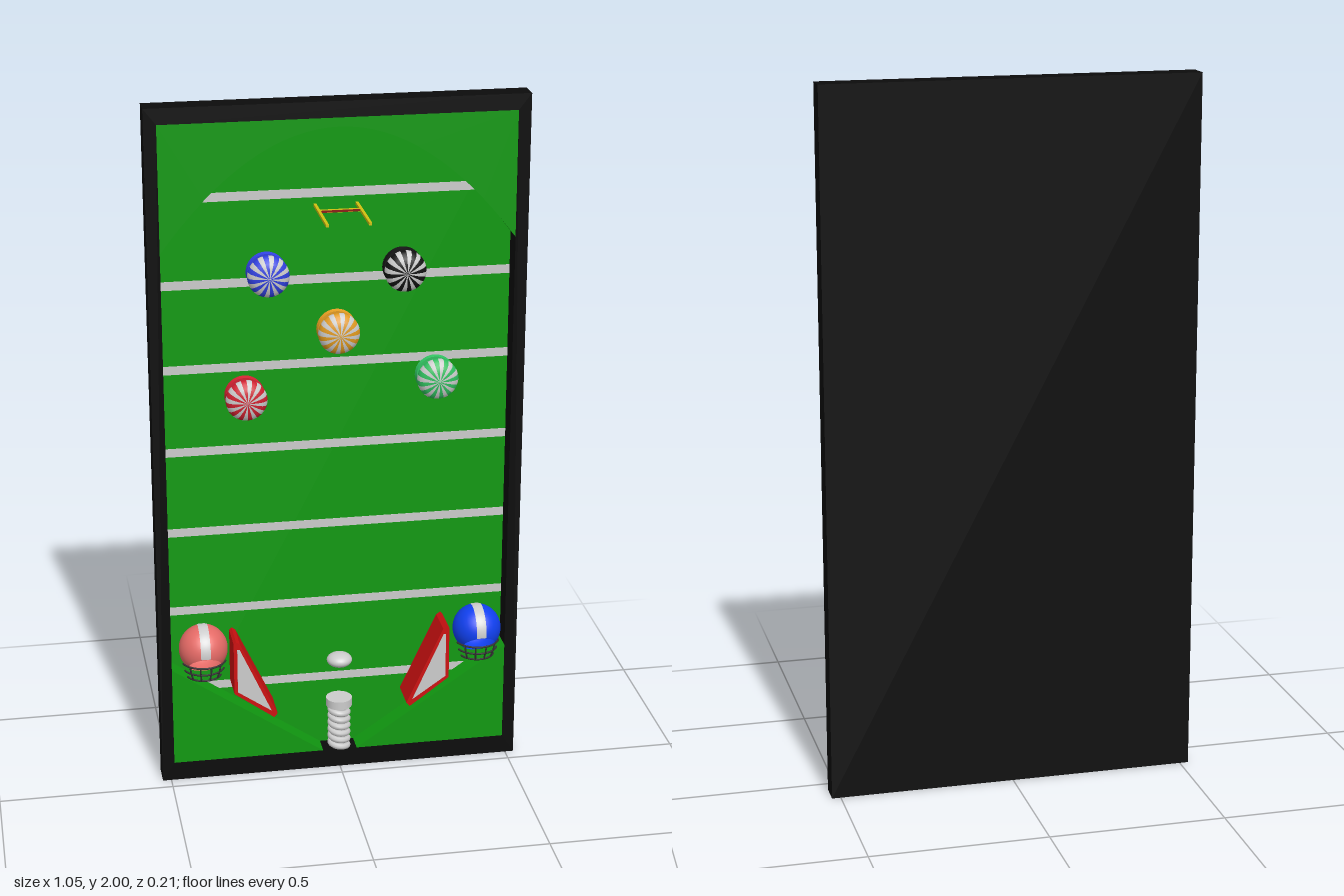
import * as THREE from 'three';

const BACK = -0.105, FIELD = -0.1, FRONT = -0.04;
const mat = (color, extra = {}) => new THREE.MeshStandardMaterial({ color, ...extra });
const green = mat(0x119911), black = mat(0x0b0b0b), white = mat(0xcccccc), red = mat(0xcc1111);
const yellow = mat(0xd0c010), dark = mat(0x333333);

function add(parent, name, geometry, material, x = 0, y = 0, z = 0) {
  const mesh = new THREE.Mesh(geometry, material);
  mesh.name = name;
  mesh.position.set(x, y, z);
  parent.add(mesh);
  return mesh;
}

const polygon = pts => new THREE.Shape(pts.map(p => new THREE.Vector2(...p)));

// Extrudes a front outline between two z positions
function slab(shape, z0, z1) {
  const g = new THREE.ExtrudeGeometry(shape, { depth: z1 - z0, bevelEnabled: false, curveSegments: 32 });
  return g.translate(0, 0, z0);
}

const rect = (x0, y0, x1, y1) => polygon([[x0, y0], [x1, y0], [x1, y1], [x0, y1]]);

// Round bumper: skirt, stem and a rounded cap made of alternating coloured wedges
function bumper(name, color, x, y) {
  const g = new THREE.Group();
  g.name = name;
  g.position.set(x, y, FIELD);
  g.rotation.x = Math.PI / 2;
  const tint = mat(color, { side: THREE.DoubleSide });
  const pale = mat(0xcccccc, { side: THREE.DoubleSide });
  const cap = [[0.04, 0.03], [0.053, 0.034], [0.058, 0.044], [0.058, 0.054], [0.053, 0.066],
    [0.042, 0.074], [0.025, 0.079], [0, 0.081]].map(p => new THREE.Vector2(...p));
  const n = 24, step = Math.PI * 2 / n;
  for (let i = 0; i < n; i++)
    add(g, 'capWedge', new THREE.LatheGeometry(cap, 2, i * step, step), i % 2 ? pale : tint);
  add(g, 'stem', new THREE.CylinderGeometry(0.042, 0.042, 0.034, 32), pale, 0, 0.017, 0);
  add(g, 'skirt', new THREE.CylinderGeometry(0.052, 0.056, 0.01, 32), tint, 0, 0.005, 0);
  return g;
}

// Helmet: shell open towards the lower front, centre stripe and face guard
function helmet(name, color, x) {
  const g = new THREE.Group();
  g.name = name;
  g.position.set(x, 0.43, -0.02);
  const shell = new THREE.SphereGeometry(0.07, 32, 24, 0, Math.PI * 2, 0, Math.PI - 0.72);
  add(g, 'shell', shell.rotateX(-Math.PI / 4), mat(color, { side: THREE.DoubleSide }));
  const stripe = new THREE.SphereGeometry(0.0708, 32, 6, 1.52, 2.6, Math.PI / 2 - 0.2, 0.4);
  add(g, 'stripe', stripe.rotateZ(Math.PI / 2), mat(0xcccccc, { side: THREE.DoubleSide }));
  const guard = new THREE.Group();
  guard.name = 'faceGuard';
  g.add(guard);
  for (const [r, y] of [[0.064, -0.035], [0.059, -0.058], [0.05, -0.08]]) {
    const bar = new THREE.TorusGeometry(r, 0.0028, 6, 24, Math.PI * 0.8);
    add(guard, 'bar', bar.rotateZ(Math.PI * 0.1).rotateX(Math.PI / 2), dark, 0, y, 0);
  }
  for (const a of [-0.75, -0.25, 0.25, 0.75]) {
    const at = (r, y) => new THREE.Vector3(r * Math.sin(a), y, r * Math.cos(a));
    const path = new THREE.CatmullRomCurve3([at(0.064, -0.035), at(0.059, -0.058), at(0.05, -0.08)]);
    add(guard, 'upright', new THREE.TubeGeometry(path, 8, 0.0025, 6), dark);
  }
  return g;
}

export function createModel() {
  const model = new THREE.Group();
  model.name = 'pinballTable';

  // Cabinet: back panel, rim and playfield
  add(model, 'backPanel', new THREE.BoxGeometry(1.05, 2, 0.003), black, 0, 1, BACK + 0.0015);
  const rim = rect(-0.525, 0, 0.525, 2);
  rim.holes.push(rect(-0.49, 0.055, 0.49, 1.955));
  add(model, 'rim', slab(rim, BACK + 0.003, FRONT), black);
  add(model, 'playfield', slab(rect(-0.49, 0.055, 0.49, 1.955), BACK + 0.003, FIELD), green);

  // Yard lines
  for (let i = 0; i < 7; i++)
    add(model, 'yardLine', new THREE.BoxGeometry(0.98, 0.025, 0.001), white, 0, 0.27 + i * 0.2442, FIELD + 0.0005);

  // Arched top guide
  const arch = new THREE.Shape();
  arch.moveTo(-0.49, 1.6);
  arch.quadraticCurveTo(0, 2.26, 0.49, 1.6);
  arch.lineTo(0.49, 1.955);
  arch.lineTo(-0.49, 1.955);
  add(model, 'archGuide', slab(arch, FIELD, FRONT - 0.001), green);

  for (const s of [-1, 1]) {
    const flip = pts => polygon(pts.map(([x, y]) => [s * x, y]));
    // Sloping lower guides
    add(model, 'lowerGuide', slab(flip([[0.49, 0.055], [0.49, 0.355], [0.05, 0.055]]), FIELD, FRONT - 0.001), green);
    // Flippers with a pale inset face
    add(model, 'flipper', slab(flip([[0.315, 0.285], [0.315, 0.443], [0.308, 0.45], [0.297, 0.442],
      [0.19, 0.212], [0.2, 0.2]]), FIELD, 0), red);
    add(model, 'flipperFace', slab(flip([[0.305, 0.29], [0.305, 0.425], [0.298, 0.425], [0.207, 0.222]]), -0.002, 0.001), white);
    // Goal uprights
    add(model, 'goalPost', new THREE.BoxGeometry(0.008, 0.008, 0.205), yellow, s * 0.058, 1.7, 0.0025);
  }
  add(model, 'goalCrossbar', new THREE.BoxGeometry(0.124, 0.008, 0.008), yellow, 0, 1.7, -0.036);
  add(model, 'goalCrossbarFace', new THREE.BoxGeometry(0.124, 0.006, 0.001), mat(0x8a1a10), 0, 1.7, -0.0315);

  // Bumpers
  model.add(
    bumper('blueBumper', 0x3040e0, -0.195, 1.52),
    bumper('blackBumper', 0x111111, 0.185, 1.515),
    bumper('orangeBumper', 0xe09a20, 0, 1.345),
    bumper('redBumper', 0xd02030, -0.26, 1.165),
    bumper('greenBumper', 0x30c060, 0.28, 1.195));

  // Helmets
  model.add(helmet('redHelmet', 0xe56a66, -0.4), helmet('blueHelmet', 0x1040f0, 0.4));

  // Ball
  add(model, 'ball', new THREE.SphereGeometry(1, 32, 20).scale(0.037, 0.021, 0.036), white, 0, 0.345, -0.05);

  // Spring plunger
  const coil = [];
  const turns = 6, per = 12;
  for (let i = 0; i <= turns * per; i++) {
    const a = i / per * Math.PI * 2;
    coil.push(new THREE.Vector3(0.025 * Math.cos(a), 0.062 + 0.13 * i / (turns * per), 0.025 * Math.sin(a)));
  }
  const plunger = new THREE.Group();
  plunger.name = 'plunger';
  plunger.position.z = -0.057;
  model.add(plunger);
  add(plunger, 'spring', new THREE.TubeGeometry(new THREE.CatmullRomCurve3(coil), 180, 0.0095, 8), white);
  add(plunger, 'rod', new THREE.CylinderGeometry(0.017, 0.017, 0.15, 20), white, 0, 0.13, 0);
  add(plunger, 'head', new THREE.CylinderGeometry(0.038, 0.038, 0.025, 32), white, 0, 0.207, 0);

  return model;
}
